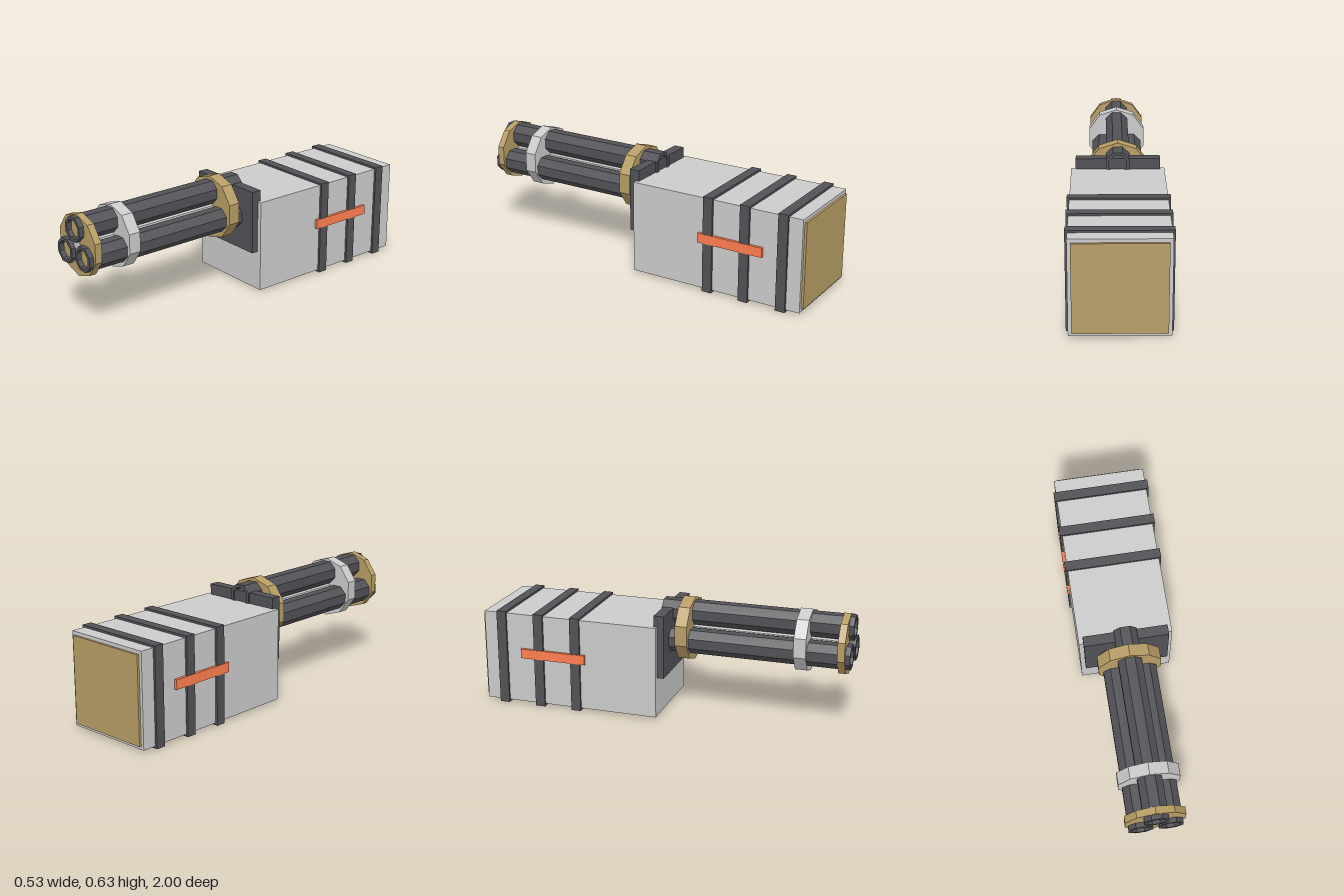
import * as THREE from 'three';

const mat = (color) => new THREE.MeshStandardMaterial({ color, flatShading: true });

export function createModel() {
  const root = new THREE.Group();
  const grey = mat(0xcccccc);
  const dark = mat(0x525257);
  const brass = mat(0xb89e66);
  const orange = mat(0xff7f50);
  const axisY = 0.455;

  const add = (name, geometry, material, x, y, z) => {
    const mesh = new THREE.Mesh(geometry, material);
    mesh.name = name;
    mesh.position.set(x, y, z);
    root.add(mesh);
    return mesh;
  };
  // Box given by its extents in y and z, centred on x unless shifted
  const box = (name, material, width, y0, y1, z0, z1, x = 0) =>
    add(name, new THREE.BoxGeometry(width, y1 - y0, z1 - z0), material, x, (y0 + y1) / 2, (z0 + z1) / 2);
  // Prism lying along z on the barrel axis
  const prism = (name, material, radius, sides, z0, z1) =>
    add(name, new THREE.CylinderGeometry(radius, radius, z1 - z0, sides).rotateX(Math.PI / 2),
      material, 0, axisY, (z0 + z1) / 2);

  // Housing with its rear panel and front mounting plate
  box('housing', grey, 0.5, 0.013, 0.515, -0.988, -0.006);
  box('rearPanel', brass, 0.466, 0.03, 0.496, -1, -0.98);
  box('mountingPlate', dark, 0.452, 0.23, 0.574, -0.025, 0.031);

  // Bands around the housing
  for (const z of [-0.461, -0.672, -0.885]) {
    box('housingBand', dark, 0.524, 0, 0.526, z - 0.027, z + 0.027);
  }

  // Side stripes
  for (const side of [-1, 1]) {
    box('sideStripe', orange, 0.025, 0.27, 0.322, -0.775, -0.405, side * 0.253);
  }

  // Clamp discs and central rod
  prism('rearClamp', brass, 0.175, 10, 0.073, 0.138);
  prism('middleClamp', grey, 0.169, 10, 0.709, 0.774);
  prism('muzzleClamp', brass, 0.165, 10, 0.936, 0.974);
  prism('centralRod', grey, 0.032, 6, 0, 0.978);

  // Three hollow octagonal barrels
  const octagon = (radius) => Array.from({ length: 8 }, (_, i) => {
    const a = (i + 0.5) * Math.PI / 4;
    return new THREE.Vector2(Math.cos(a) * radius, Math.sin(a) * radius);
  });
  const ring = new THREE.Shape(octagon(0.0685));
  ring.holes.push(new THREE.Path(octagon(0.051)));
  const barrel = new THREE.ExtrudeGeometry(ring, { depth: 1.034, bevelEnabled: false });
  for (let i = 0; i < 3; i++) {
    const a = Math.PI / 2 + i * Math.PI * 2 / 3;
    add('barrel', barrel, dark, Math.cos(a) * 0.09, axisY + Math.sin(a) * 0.09, -0.034);
  }
  return root;
}
